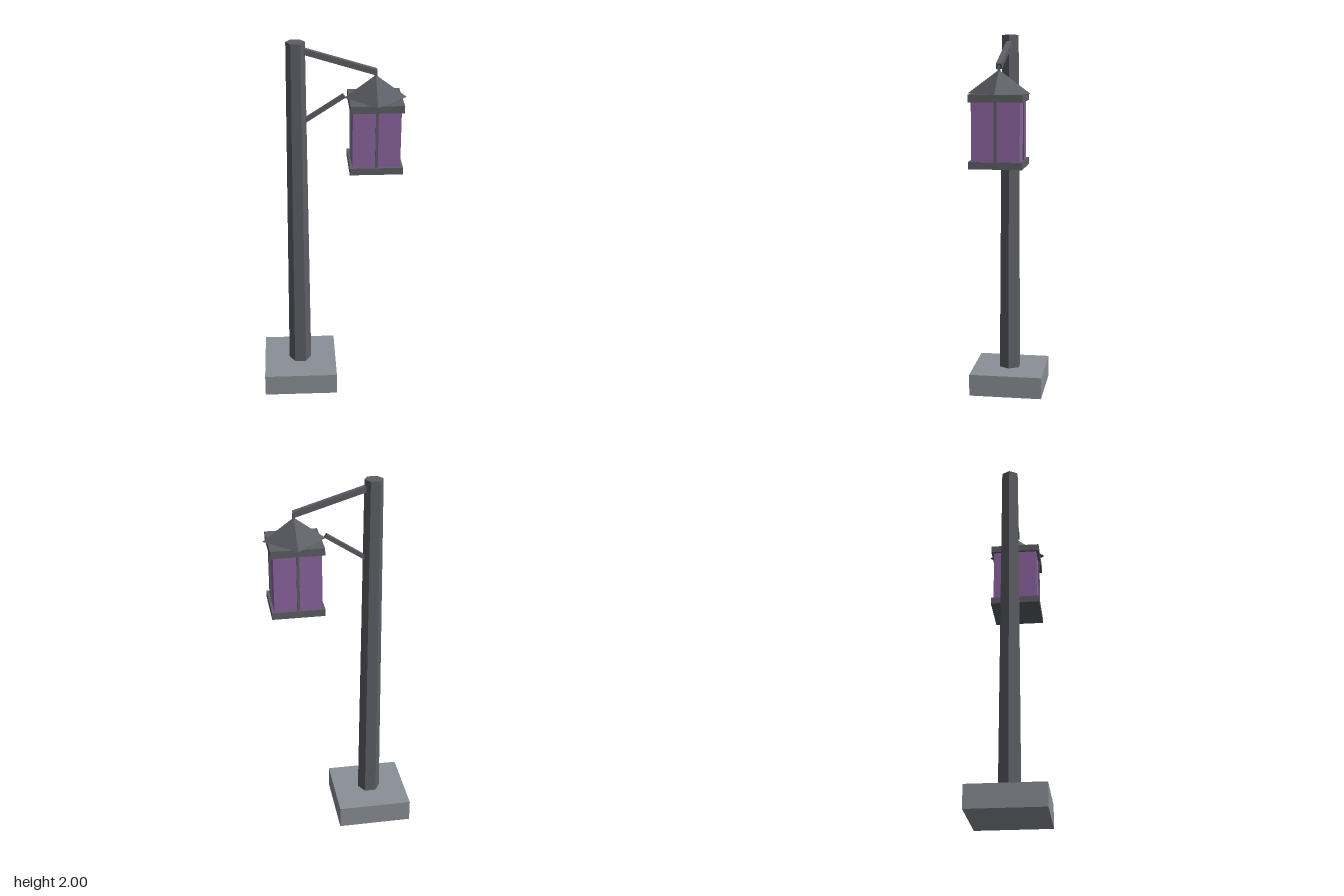
import * as THREE from 'three';

export function createModel() {
  const group = new THREE.Group();
  group.name = 'streetLantern';

  const material = (name, color) => {
    const m = new THREE.MeshStandardMaterial({ color });
    m.name = name;
    return m;
  };
  const stone = material('stone', 0x8b9096);
  const metal = material('darkMetal', 0x5c5f65);
  const glass = material('purpleGlass', 0x8e64a2);

  const add = (name, geometry, mat, x, y, z = 0, parent = group) => {
    const mesh = new THREE.Mesh(geometry, mat);
    mesh.name = name;
    mesh.position.set(x, y, z);
    parent.add(mesh);
    return mesh;
  };
  // flat facets on round-based shapes
  const faceted = (g) => {
    const flat = g.toNonIndexed();
    flat.computeVertexNormals();
    return flat;
  };
  // square bar between two points in the x-y plane
  const bar = (name, x0, y0, x1, y1, thick, depth) => {
    const length = Math.hypot(x1 - x0, y1 - y0);
    const mesh = add(name, new THREE.BoxGeometry(length, thick, depth), metal, (x0 + x1) / 2, (y0 + y1) / 2);
    mesh.rotation.z = Math.atan2(y1 - y0, x1 - x0);
  };

  // base block and tapered six-sided pole
  const poleX = -0.185;
  add('base', new THREE.BoxGeometry(0.406, 0.122, 0.406), stone, poleX, 0.061);
  add('pole', faceted(new THREE.CylinderGeometry(0.049, 0.063, 1.88, 6, 1, false, Math.PI / 2)), metal, poleX, 1.06);

  // arm, brace and hanger
  bar('arm', -0.16, 1.957, 0.225, 1.839, 0.03, 0.03);
  bar('brace', -0.15, 1.577, 0.062, 1.715, 0.022, 0.022);
  add('hanger', new THREE.BoxGeometry(0.013, 0.04, 0.013), metal, 0.223, 1.825);

  // lantern
  const lantern = new THREE.Group();
  lantern.name = 'lantern';
  lantern.position.x = 0.223;
  group.add(lantern);
  add('bottomPlate', new THREE.BoxGeometry(0.276, 0.037, 0.276), metal, 0, 1.346, 0, lantern);
  add('topPlate', new THREE.BoxGeometry(0.276, 0.038, 0.276), metal, 0, 1.683, 0, lantern);
  add('glassBody', new THREE.BoxGeometry(0.248, 0.3, 0.248), glass, 0, 1.514, 0, lantern);
  add('roof', faceted(new THREE.ConeGeometry(0.162, 0.12, 4)), metal, 0, 1.762, 0, lantern);

  // one glazing bar in the middle of each side
  for (let i = 0; i < 4; i++) {
    const a = (i * Math.PI) / 2;
    const b = add('glazingBar', new THREE.BoxGeometry(0.014, 0.3, 0.014), metal,
      Math.sin(a) * 0.124, 1.514, Math.cos(a) * 0.124, lantern);
    b.rotation.y = a;
  }
  return group;
}
